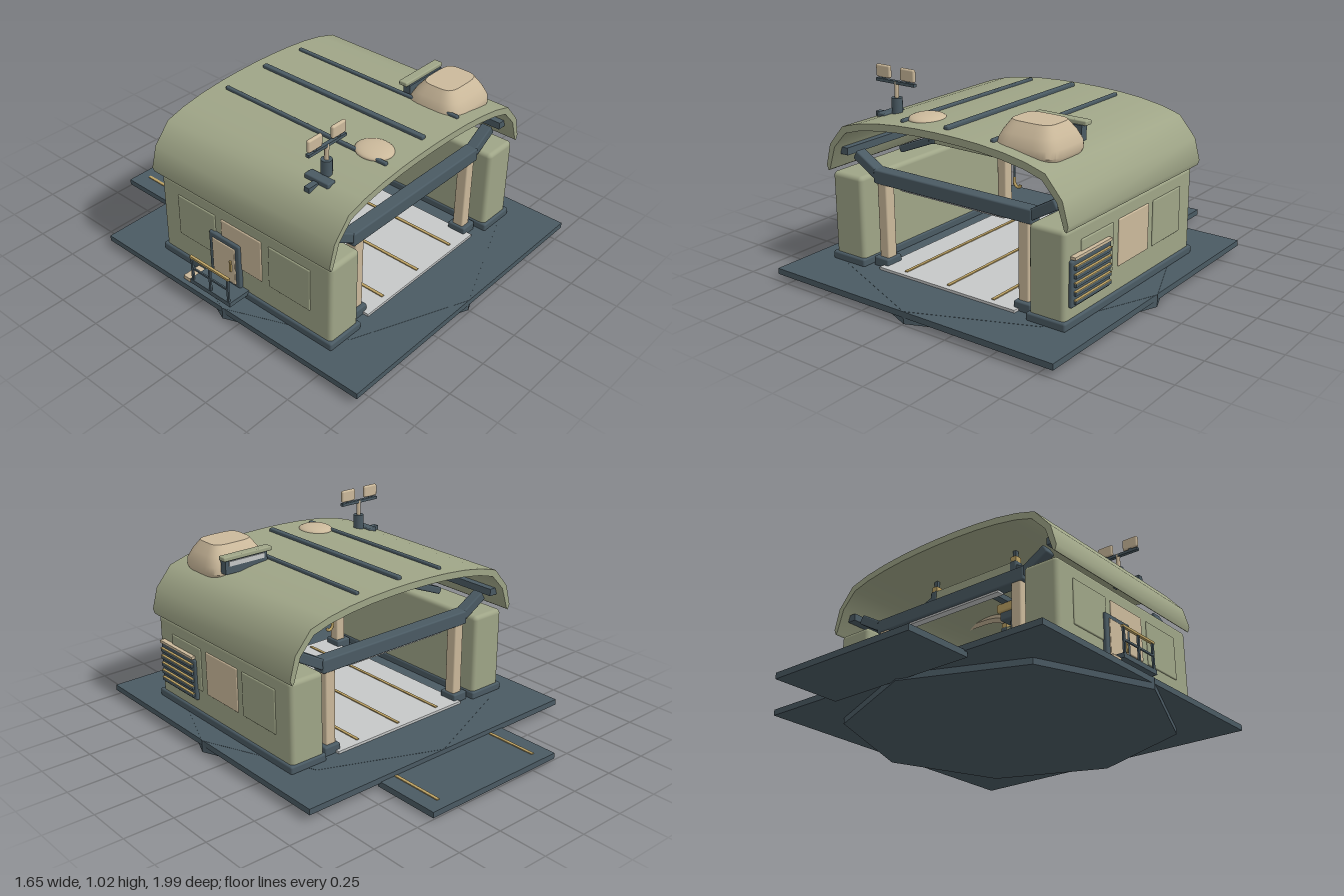
import * as THREE from 'three';
import { toCreasedNormals } from 'three/addons/utils/BufferGeometryUtils.js';
import { RoundedBoxGeometry } from 'three/addons/geometries/RoundedBoxGeometry.js';

const mat = (name, color) => Object.assign(new THREE.MeshStandardMaterial({ color }), { name });

export function createModel() {
  const slate = mat('slate', 0x4a5a63), olive = mat('olive', 0x9fa587), tan = mat('tan', 0xcbb99b);
  const ochre = mat('ochre', 0xbba163), grey = mat('light grey', 0xc6c8c8);
  const root = new THREE.Group();
  root.name = 'hangar';

  const add = (name, geo, m, x = 0, y = 0, z = 0) => {
    const mesh = new THREE.Mesh(geo, m);
    mesh.name = name;
    mesh.position.set(x, y, z);
    root.add(mesh);
    return mesh;
  };
  // Box given by its limits on each axis, optionally rounded
  const box = (name, m, [x0, x1], [y0, y1], [z0, z1], r = 0) => {
    const s = [x1 - x0, y1 - y0, z1 - z0];
    const geo = r ? new RoundedBoxGeometry(...s, 3, r) : new THREE.BoxGeometry(...s);
    return add(name, geo, m, (x0 + x1) / 2, (y0 + y1) / 2, (z0 + z1) / 2);
  };
  const mirrorBox = (name, m, [x0, x1], y, z, r) => {
    box(name, m, [x0, x1], y, z, r);
    box(name, m, [-x1, -x0], y, z, r);
  };
  // Square bar between two points of a plane of constant z
  const bar = (name, m, a, b, z, h, d) => {
    const dx = b[0] - a[0], dy = b[1] - a[1];
    add(name, new RoundedBoxGeometry(Math.hypot(dx, dy), h, d, 2, 0.008), m, (a[0] + b[0]) / 2, (a[1] + b[1]) / 2, z)
      .rotation.z = Math.atan2(dy, dx);
  };
  const tube = (name, m, pts, r) => add(name, new THREE.TubeGeometry(
    new THREE.CatmullRomCurve3(pts.map(p => new THREE.Vector3(...p))), 24, r, 8), m);

  // Base: octagon under and through a square slab, with a rear ramp
  add('octagonBase', toCreasedNormals(new THREE.CylinderGeometry(0.825, 0.825, 0.062, 8), 0.3), slate, 0, 0.036, 0.165);
  box('baseSlab', slate, [-0.82, 0.82], [0.036, 0.066], [-0.66, 0.99]);
  box('rearRamp', slate, [-0.405, 0.405], [0.012, 0.042], [-1, -0.64]);
  mirrorBox('rampStrip', ochre, [0.308, 0.324], [0.042, 0.047], [-0.94, -0.665]);

  // Floor with guide lines
  box('floor', grey, [-0.41, 0.41], [0.06, 0.08], [-0.37, 0.71]);
  for (const x of [-0.265, 0, 0.265]) box('floorLine', ochre, [x - 0.008, x + 0.008], [0.078, 0.085], [-0.34, 0.68]);

  // Side walls on plinths, with window panels
  mirrorBox('wallPlinth', slate, [0.49, 0.7], [0.062, 0.105], [-0.38, 0.735], 0.01);
  mirrorBox('sideWall', olive, [0.497, 0.688], [0.08, 0.52], [-0.37, 0.722], 0.022);
  [[-0.255, 0, olive], [0.04, 0.3, tan], [0.345, 0.6, olive]].forEach(([z0, z1, m]) =>
    mirrorBox('wallPanel', m, [0.68, 0.694], [0.22, 0.45], [z0, z1], 0.006));

  // Louvred vent on the left wall
  box('ventPanel', slate, [0.68, 0.705], [0.16, 0.38], [0.38, 0.69], 0.01);
  for (let i = 0; i < 5; i++) {
    const y = 0.188 + i * 0.04;
    box('ventSlat', slate, [0.7, 0.717], [y - 0.01, y + 0.006], [0.395, 0.675]);
    box('ventSlatEdge', ochre, [0.7, 0.718], [y + 0.006, y + 0.01], [0.395, 0.675]);
  }
  box('ventHood', tan, [0.685, 0.715], [0.384, 0.398], [0.39, 0.68]);

  // Door, landing, step and railing on the right wall
  box('doorFrame', slate, [-0.708, -0.68], [0.11, 0.36], [-0.03, 0.17], 0.008);
  box('doorLeaf', tan, [-0.713, -0.69], [0.125, 0.335], [-0.005, 0.145], 0.004);
  box('doorHandle', ochre, [-0.722, -0.71], [0.2, 0.26], [0.115, 0.125]);
  box('landing', slate, [-0.815, -0.69], [0.092, 0.116], [-0.06, 0.21]);
  box('landingSupport', slate, [-0.77, -0.69], [0.06, 0.094], [-0.03, 0.18]);
  box('step', tan, [-0.8, -0.7], [0.072, 0.092], [-0.125, -0.06]);
  for (const z of [-0.045, 0.075, 0.195]) box('railPost', slate, [-0.813, -0.803], [0.11, 0.25], [z - 0.006, z + 0.006]);
  box('handRail', ochre, [-0.815, -0.801], [0.244, 0.256], [-0.055, 0.205]);
  box('midRail', slate, [-0.812, -0.804], [0.18, 0.19], [-0.05, 0.2]);

  // Posts and portal beams at both ends
  for (const z of [0.63, -0.3]) {
    mirrorBox('postFoot', slate, [0.383, 0.475], [0.062, 0.112], [z - 0.05, z + 0.05], 0.008);
    mirrorBox('post', tan, [0.394, 0.452], [0.1, 0.5], [z - 0.03, z + 0.03], 0.008);
    bar('portalBeam', slate, [-0.47, 0.52], [0.47, 0.52], z, 0.07, 0.07);
    box('lightStrip', grey, [-0.31, 0.31], [0.475, 0.487], [z - 0.02, z + 0.02]);
    for (const s of [-1, 1]) bar('portalArm', slate, [s * 0.44, 0.515], [s * 0.595, 0.605], z, 0.05, 0.06);
  }
  // Roof trusses and eaves rails
  for (const z of [0.45, -0.12]) {
    bar('trussBeam', olive, [-0.25, 0.7], [0.25, 0.7], z, 0.05, 0.05);
    for (const s of [-1, 1]) {
      bar('trussArm', slate, [s * 0.24, 0.7], [s * 0.475, 0.605], z, 0.036, 0.045);
      bar('trussJoint', slate, [s * 0.24, 0.7], [s * 0.28, 0.7], z, 0.055, 0.055);
      box('trussBracket', ochre, [s * 0.26 - 0.016, s * 0.26 + 0.016], [0.72, 0.755], [z - 0.02, z + 0.02]);
      box('trussStud', slate, [s * 0.26 - 0.01, s * 0.26 + 0.01], [0.75, 0.8], [z - 0.01, z + 0.01]);
    }
  }
  mirrorBox('eavesRail', slate, [0.62, 0.667], [0.6, 0.637], [-0.35, 0.68]);

  // Hoist with hook
  box('hoistRail', slate, [-0.02, 0.02], [0.68, 0.71], [-0.14, 0.47]);
  box('hoistTrolley', ochre, [-0.057, 0.057], [0.636, 0.684], [0.115, 0.215], 0.008);
  box('hoistMotor', slate, [-0.043, 0.043], [0.592, 0.638], [0.125, 0.205], 0.008);
  add('hoistCable', new THREE.CylinderGeometry(0.005, 0.005, 0.13, 8), slate, 0, 0.53, 0.165);
  tube('hook', ochre, [[0, 0.475, 0.165], [0, 0.445, 0.165], [0.012, 0.428, 0.165], [0.03, 0.428, 0.165], [0.04, 0.445, 0.165]], 0.008);

  // Curved roof shell
  const outer = [[0.702, 0.523], [0.712, 0.55], [0.682, 0.66], [0.593, 0.763], [0.49, 0.793], [0.37, 0.814], [0.24, 0.827], [0.12, 0.833]];
  const inner = [[0.692, 0.53], [0.652, 0.65], [0.575, 0.732], [0.48, 0.76], [0.36, 0.78], [0.24, 0.792], [0.12, 0.798]];
  const flip = pts => pts.map(([x, y]) => [-x, y]).reverse();
  const profile = [...outer, [0, 0.835], ...flip(outer), ...inner.map(([x, y]) => [-x, y]), [0, 0.8], ...[...inner].reverse()];
  const roofGeo = new THREE.ExtrudeGeometry(new THREE.Shape(profile.map(p => new THREE.Vector2(...p))),
    { depth: 1.135, bevelEnabled: false });
  add('roof', toCreasedNormals(roofGeo, 0.68), olive, 0, 0, -0.402);
  [[-0.265, 0.827, 0.01], [0, 0.84, 0.014], [0.262, 0.827, 0.01]].forEach(([x, y, w]) =>
    box('roofRib', slate, [x - w, x + w], [y - 0.012, y + 0.012], [-0.335, 0.67], 0.006));

  // Small roof dome
  add('domeBase', new THREE.CylinderGeometry(0.065, 0.065, 0.035, 24), slate, -0.21, 0.81, 0.555);
  add('dome', new THREE.SphereGeometry(1, 28, 16), tan, -0.21, 0.83, 0.555).scale.set(0.085, 0.024, 0.096);

  // Large roof housing lofted from rounded squares
  const rings = [[0.76, 0.13, 0.12], [0.772, 0.162, 0.148], [0.79, 0.17, 0.156], [0.825, 0.167, 0.152], [0.87, 0.145, 0.128], [0.905, 0.122, 0.1], [0.92, 0.112, 0.088]];
  const N = 40, pos = [], idx = [];
  const pw = v => Math.sign(v) * Math.abs(v) ** 0.5;
  for (const [y, rx, rz] of rings) for (let i = 0; i < N; i++) {
    const a = i / N * Math.PI * 2;
    pos.push(pw(Math.cos(a)) * rx, y, pw(Math.sin(a)) * rz);
  }
  for (let j = 0; j < rings.length - 1; j++) for (let i = 0; i < N; i++) {
    const a = j * N + i, b = j * N + (i + 1) % N;
    idx.push(a, a + N, b, b, a + N, b + N);
  }
  const top = (rings.length - 1) * N;
  pos.push(0, 0.92, 0);
  for (let i = 0; i < N; i++) idx.push(top + i, top + N, top + (i + 1) % N);
  const housing = new THREE.BufferGeometry();
  housing.setAttribute('position', new THREE.Float32BufferAttribute(pos, 3));
  housing.setIndex(idx);
  add('roofHousing', toCreasedNormals(housing, 0.6), tan, 0.405, 0, 0.51);

  // Louvre box behind the housing
  box('louvreBox', slate, [0.28, 0.53], [0.8, 0.875], [0.33, 0.37]);
  box('louvreFace', grey, [0.3, 0.51], [0.84, 0.865], [0.325, 0.331]);
  box('louvreHood', olive, [0.26, 0.547], [0.872, 0.895], [0.315, 0.362], 0.006);

  // Floodlight mast
  box('mastPlate', slate, [-0.53, -0.48], [0.76, 0.805], [0.42, 0.56], 0.006);
  box('mastArm', slate, [-0.59, -0.43], [0.765, 0.79], [0.475, 0.505]);
  add('mastSocket', new THREE.CylinderGeometry(0.027, 0.027, 0.1, 16), slate, -0.46, 0.825, 0.49);
  add('mast', new THREE.CylinderGeometry(0.011, 0.011, 0.09, 12), tan, -0.46, 0.91, 0.49);
  box('lampBar', slate, [-0.585, -0.34], [0.942, 0.957], [0.48, 0.5]);
  for (const x of [-0.54, -0.385]) {
    box('lamp', tan, [x - 0.045, x + 0.045], [0.963, 1.026], [0.48, 0.5], 0.009);
    box('lampStem', slate, [x - 0.008, x + 0.008], [0.95, 0.966], [0.484, 0.496]);
  }
  return root;
}
